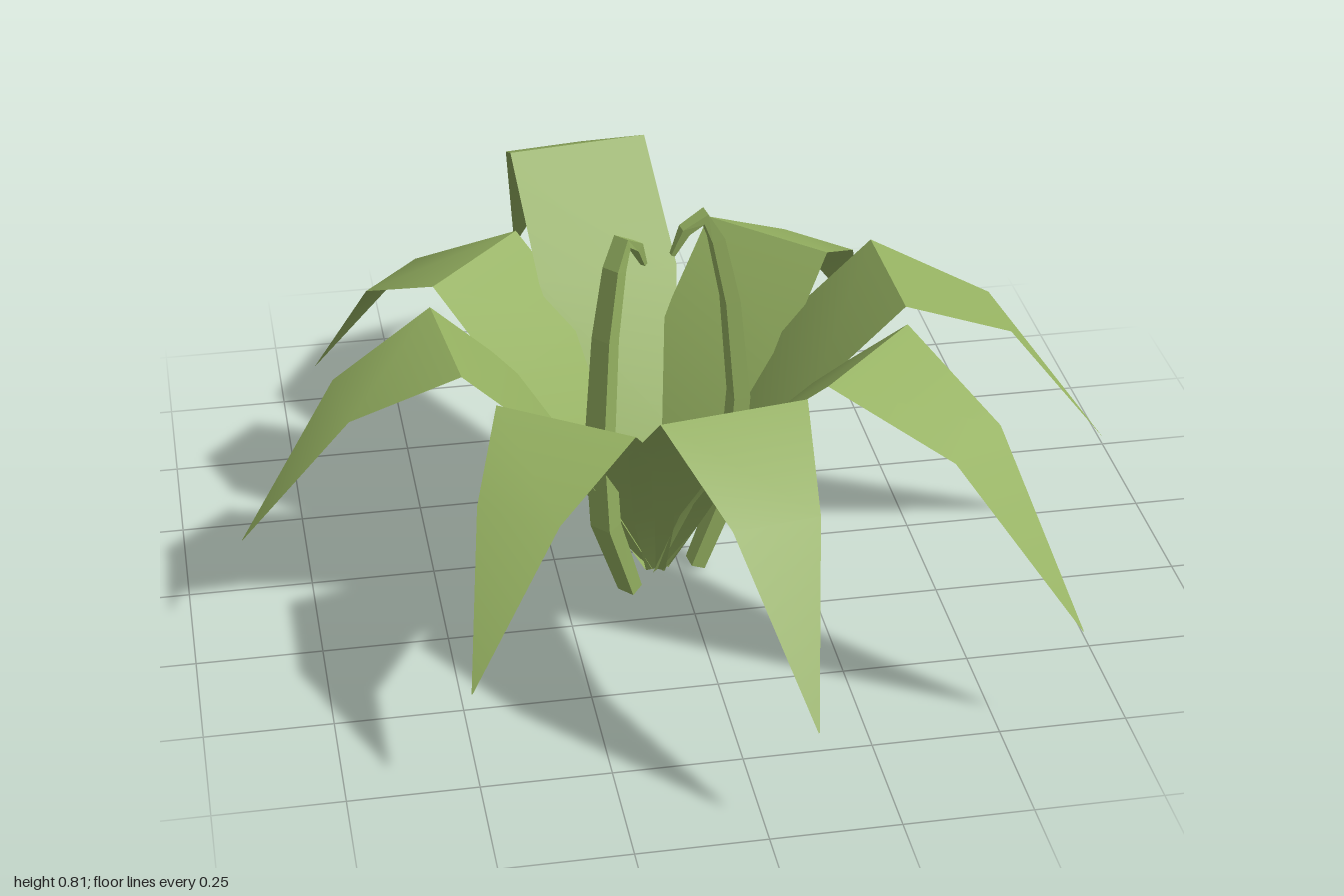
import * as THREE from 'three';

const CX = -0.05, CZ = 0.08; // point all leaves grow from

// grid of cross-section rows -> indexed triangles
function loft(rows, closed) {
  const n = rows[0].length, pos = rows.flat(2), idx = [];
  for (let i = 0; i < rows.length - 1; i++) {
    for (let j = 0; j < (closed ? n : n - 1); j++) {
      const k = (j + 1) % n;
      const a = i * n + j, b = i * n + k, c = a + n, d = b + n;
      idx.push(a, b, d, a, d, c);
    }
  }
  const g = new THREE.BufferGeometry();
  g.setAttribute('position', new THREE.Float32BufferAttribute(pos, 3));
  g.setIndex(idx);
  return g;
}

// ribbon along +x from [radius, height, width] stations
function ribbon(stations) {
  const g = loft(stations.map(([r, y, w]) => [[r, y, w / 2], [r, y, -w / 2]]), false);
  g.computeVertexNormals();
  return g;
}

export function createModel() {
  const model = new THREE.Group();
  const green = new THREE.MeshStandardMaterial({ color: 0x95b161, side: THREE.DoubleSide });
  green.name = 'leafGreen';

  const add = (parent, geo, name) => {
    const m = new THREE.Mesh(geo, green);
    m.name = name;
    parent.add(m);
  };

  // leaves: tip offset x, tip offset z, height of the fold
  const leaves = [
    [-0.14, -1.08, 0.73], [0.57, -0.59, 0.61], [0.94, -0.01, 0.655], [0.70, 0.68, 0.67],
    [0.14, 0.91, 0.64], [-0.46, 0.68, 0.585], [-0.84, 0.08, 0.61], [-0.64, -0.59, 0.61],
  ];
  leaves.forEach(([x, z, h], i) => {
    const leaf = new THREE.Group();
    leaf.name = `leaf${i + 1}`;
    leaf.position.set(CX, 0, CZ);
    leaf.rotation.y = Math.atan2(-z, x);
    const tip = Math.hypot(x, z), R = tip / 2, tipY = 0.225;
    // rising inner half, then drooping outer half with a hard fold between
    add(leaf, ribbon([
      [0.01, 0.02, 0.05], [R * 0.24, h * 0.34, 0.17], [R * 0.6, h * 0.73, 0.295], [R, h, 0.29],
    ]), 'innerBlade');
    add(leaf, ribbon([
      [R, h, 0.29], [R * 1.5, h - (h - tipY) * 0.26, 0.17], [tip, tipY, 0.002],
    ]), 'outerBlade');
    model.add(leaf);
  });

  // curled young shoots: [radius, height, thickness, width]
  const path = [
    [0.085, 0.012, 0.03, 0.04], [0.16, 0.2, 0.036, 0.05], [0.175, 0.4, 0.034, 0.05],
    [0.155, 0.62, 0.03, 0.044], [0.125, 0.76, 0.026, 0.038], [0.1, 0.81, 0.022, 0.034],
    [0.06, 0.785, 0.018, 0.026], [0.035, 0.735, 0.008, 0.012],
  ];
  const shootRows = path.map(([r, y, t, w], i) => {
    const p = path[Math.max(i - 1, 0)], q = path[Math.min(i + 1, path.length - 1)];
    const l = Math.hypot(q[0] - p[0], q[1] - p[1]);
    const nx = (q[1] - p[1]) / l * t / 2, ny = -(q[0] - p[0]) / l * t / 2;
    return [
      [r + nx, y + ny, w / 2], [r + nx, y + ny, -w / 2],
      [r - nx, y - ny, -w / 2], [r - nx, y - ny, w / 2],
    ];
  });
  // close both ends by collapsing a ring to its centre
  const cap = ([r, y]) => Array.from({ length: 4 }, () => [r, y, 0]);
  shootRows.unshift(cap(path[0]));
  shootRows.push(cap(path[path.length - 1]));
  const shootGeo = loft(shootRows, true).toNonIndexed();
  shootGeo.computeVertexNormals();

  [['rightShoot', -0.13, 0.115], ['leftShoot', 0.19, -0.025]].forEach(([name, x, z]) => {
    const m = new THREE.Mesh(shootGeo, green);
    m.name = name;
    m.position.set(CX, 0, CZ);
    m.rotation.y = Math.atan2(-z, x);
    model.add(m);
  });

  return model;
}
